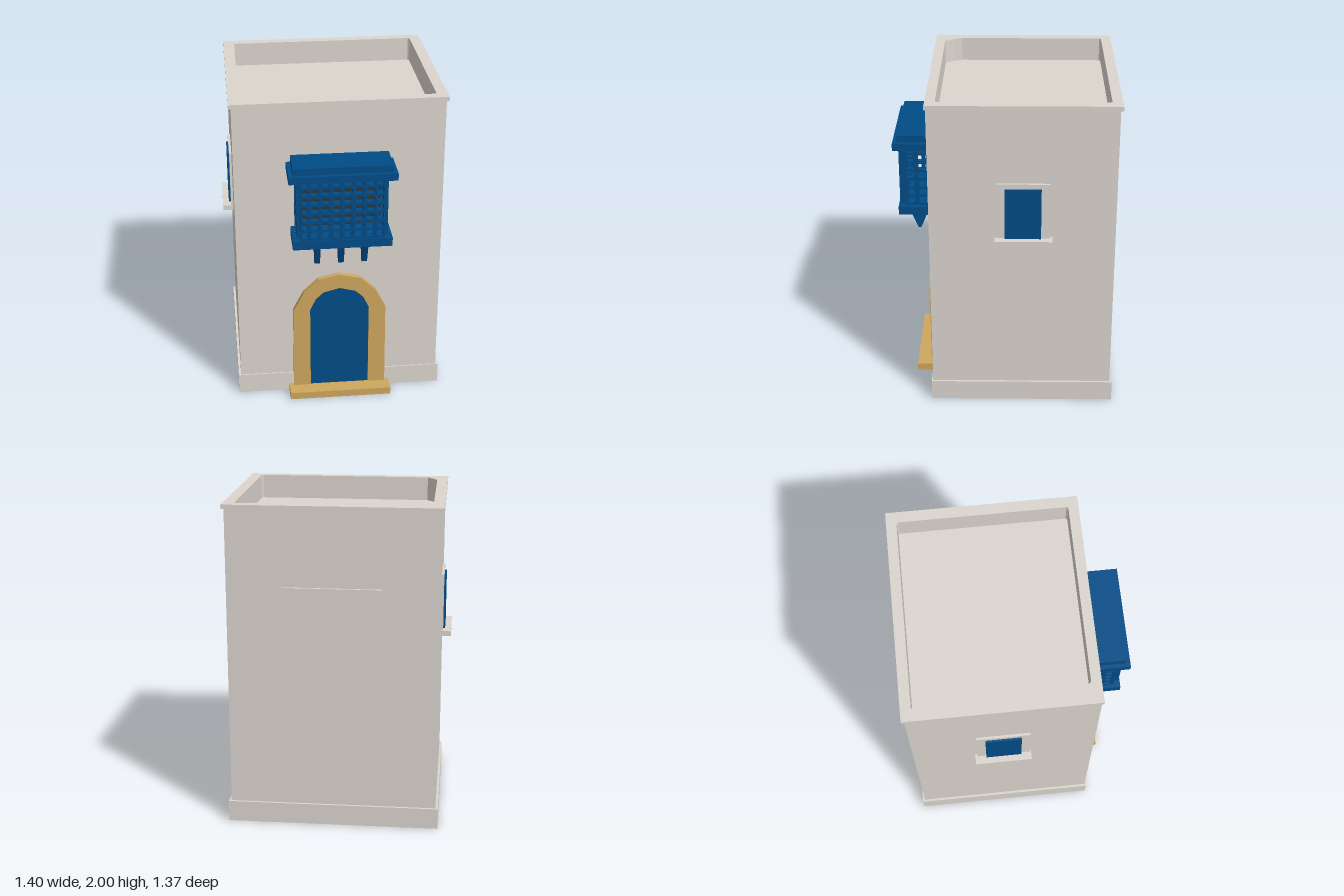
import * as THREE from 'three';

const mat = (name, color) => {
  const m = new THREE.MeshStandardMaterial({ color });
  m.name = name;
  return m;
};

export function createModel() {
  const root = new THREE.Group();
  root.name = 'tower';
  const stone = mat('stone', 0xdbd5ce);
  const blue = mat('bluePaint', 0x004c87);
  const gold = mat('goldTrim', 0xcea75d);
  const dark = mat('darkInterior', 0x2c363c);

  const add = (name, geo, material, parent = root) => {
    const m = new THREE.Mesh(geo, material);
    m.name = name;
    parent.add(m);
    return m;
  };
  // Box given by its limits on each axis
  const box = (name, x0, x1, y0, y1, z0, z1, material, parent) =>
    add(name, new THREE.BoxGeometry(x1 - x0, y1 - y0, z1 - z0)
      .translate((x0 + x1) / 2, (y0 + y1) / 2, (z0 + z1) / 2), material, parent);
  const extrude = (shape, depth) =>
    new THREE.ExtrudeGeometry(shape, { depth, bevelEnabled: false });
  const polygon = (pts) => pts.map(([x, y]) => new THREE.Vector2(x, y));
  const rect = (x0, x1, y0, y1) => polygon([[x0, y0], [x1, y0], [x1, y1], [x0, y1]]);
  // Rectangle with clipped corners, for lattice openings
  const opening = (x0, x1, y0, y1, c) => new THREE.Path(polygon([
    [x0 + c, y0], [x1 - c, y0], [x1, y0 + c], [x1, y1 - c],
    [x1 - c, y1], [x0 + c, y1], [x0, y1 - c], [x0, y0 + c]]));

  // Walls, plinth and sunken roof
  const roofFloor = 1.85;
  box('plinth', -0.65, 0.65, 0, 0.13, -0.685, 0.458, stone);
  box('walls', -0.635, 0.635, 0.13, roofFloor, -0.67, 0.45, stone);
  const roofRing = (name, x, z0, z1, y0, y1) => {
    const s = new THREE.Shape(rect(-x, x, -z1, -z0));
    // Recess with one clipped front corner
    s.holes.push(new THREE.Path(polygon([
      [-0.582, -0.29], [-0.565, -0.34], [-0.518, -0.397], [0.572, -0.397], [0.582, -0.387],
      [0.582, 0.613], [0.572, 0.623], [-0.572, 0.623], [-0.582, 0.613]])));
    add(name, extrude(s, y1 - y0).rotateX(-Math.PI / 2).translate(0, y0, 0), stone);
  };
  roofRing('parapet', 0.635, -0.67, 0.45, roofFloor, 1.973);
  roofRing('cornice', 0.65, -0.685, 0.458, 1.973, 2);
  box('backPanel', -0.3, 0.3, 1.18, 1.51, -0.685, -0.67, stone);

  // Side windows
  for (const s of [1, -1]) {
    const win = new THREE.Group();
    win.name = s > 0 ? 'leftWindow' : 'rightWindow';
    root.add(win);
    const slab = (name, x1, y0, y1, z0, z1, m) =>
      box(name, Math.min(s * 0.63, s * x1), Math.max(s * 0.63, s * x1), y0, y1, z0, z1, m, win);
    slab('windowFrame', 0.65, 1.157, 1.51, -0.276, 0.048, stone);
    slab('windowShutter', 0.662, 1.157, 1.48, -0.223, -0.005, blue);
    slab('windowSill', 0.7, 1.125, 1.157, -0.292, 0.056, stone);
  }

  // Arched doorway
  const door = new THREE.Group();
  door.name = 'doorway';
  root.add(door);
  const arch = (half) => polygon([
    ...half, ...half.slice(0, -1).reverse().map(([x, y]) => [-x, y])]);
  const outer = arch([[0.295, 0.045], [0.292, 0.605], [0.225, 0.735], [0.132, 0.823], [0, 0.853]]);
  const inner = arch([[0.186, 0.045], [0.186, 0.61], [0.15, 0.685], [0.1, 0.732], [0, 0.758]]);
  const surround = new THREE.Shape([...outer, ...inner.slice().reverse()]);
  add('doorSurround', extrude(surround, 0.035).translate(0, 0, 0.448), gold, door);
  add('doorLeaf', extrude(new THREE.Shape(inner), 0.028).translate(0, 0, 0.448), blue, door);
  box('doorStep', -0.323, 0.323, 0, 0.047, 0.45, 0.573,
    [gold, gold, gold, blue, gold, gold], door);

  // Latticed bay window
  const bay = new THREE.Group();
  bay.name = 'bayWindow';
  root.add(bay);
  box('bayRoofTop', -0.296, 0.296, 1.624, 1.667, 0.45, 0.657, blue, bay);
  box('bayRoofEave', -0.322, 0.322, 1.58, 1.624, 0.45, 0.684, blue, bay);
  box('bayFloor', -0.3, 0.3, 1.137, 1.192, 0.45, 0.66, blue, bay);
  box('bayBacking', -0.25, 0.25, 1.192, 1.58, 0.449, 0.454, dark, bay);

  const rows = Array.from({ length: 7 }, (_, i) => {
    const y = 1.228 + i * 0.0565;
    return [y - 0.02, Math.min(y + 0.02, 1.576)];
  });
  const lattice = (name, x0, x1, columns, depth, clip) => {
    const s = new THREE.Shape(rect(x0, x1, 1.19, 1.582));
    for (const [c, h] of columns)
      for (const [y0, y1] of rows) s.holes.push(opening(c - h, c + h, y0, y1, clip));
    return add(name, extrude(s, depth), blue, bay);
  };
  const columns = [0.033, 0.1, 0.166, 0.225].flatMap((c, i) => {
    const h = i === 3 ? 0.019 : 0.024;
    return [[c, h], [-c, h]];
  });
  lattice('frontLattice', -0.252, 0.252, columns, 0.038, 0.008).position.z = 0.615;
  for (const s of [1, -1]) {
    // Local x runs towards -z after the turn
    const side = lattice(s > 0 ? 'leftLattice' : 'rightLattice', -0.617, -0.45,
      [[-0.578, 0.022], [-0.508, 0.024]], 0.025, 0.004);
    side.rotation.y = Math.PI / 2;
    side.position.x = s > 0 ? 0.25 : -0.275;
  }

  // Tapered brackets below the bay
  for (const x of [-0.146, 0, 0.144]) {
    const s = new THREE.Shape(polygon([
      [-0.612, 1.125], [-0.552, 0.98], [-0.534, 0.98], [-0.475, 1.125]]));
    add('bracket', extrude(s, 0.034).rotateY(Math.PI / 2).translate(x - 0.017, 0, 0), blue, bay);
    box('bracketCap', x - 0.026, x + 0.026, 1.122, 1.138, 0.465, 0.615, blue, bay);
  }
  return root;
}
